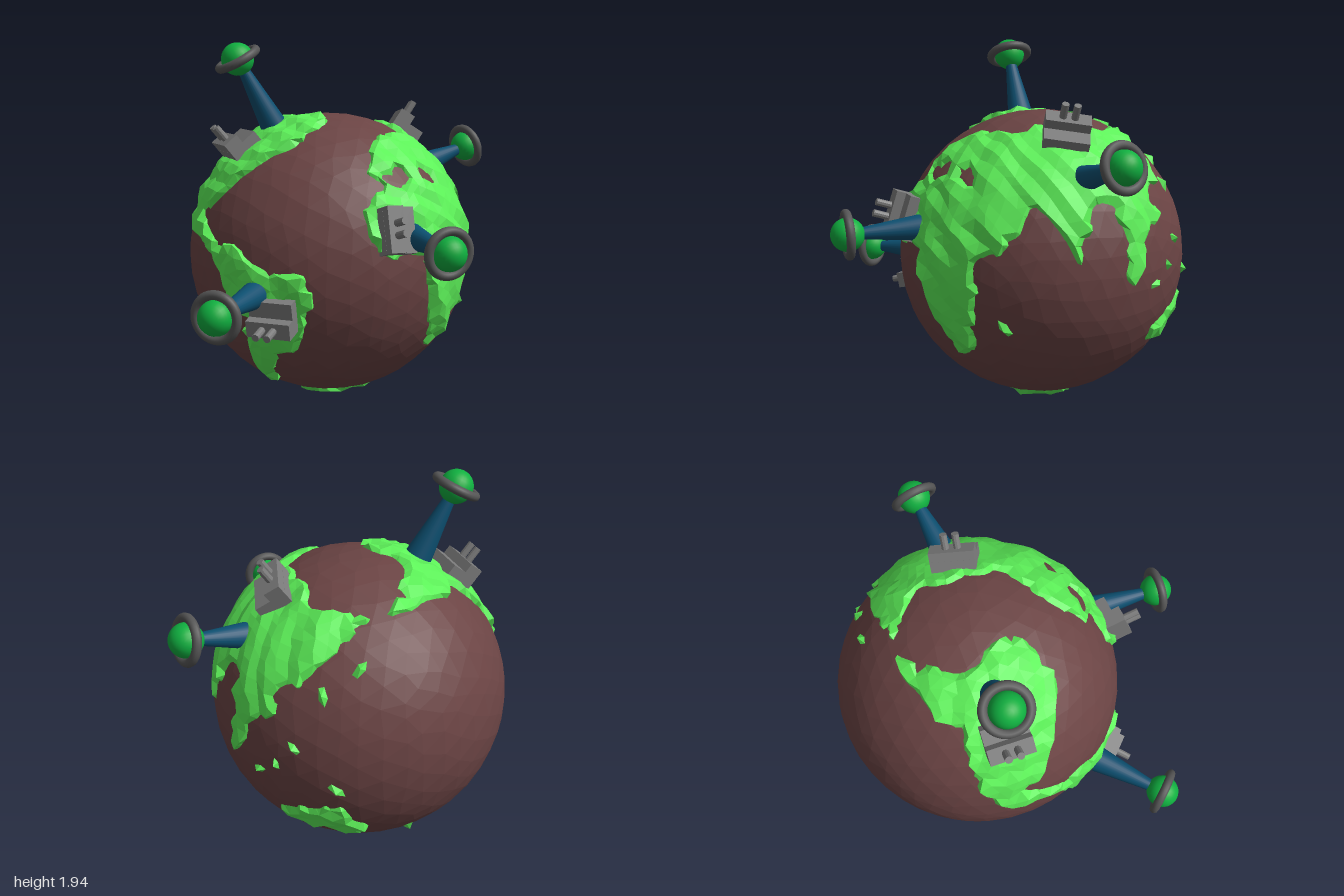
import * as THREE from 'three';

const C = new THREE.Vector3(-0.01, 0.795, -0.205); // globe centre
const R = 0.77;
const UP = new THREE.Vector3(0, 1, 0);
const rad = THREE.MathUtils.degToRad;

const mat = (color, flat = false) =>
  new THREE.MeshStandardMaterial({ color, flatShading: flat, roughness: 0.9 });
const OCEAN = mat(0x6b4444, true), LAND = mat(0x5cf058, true);
const STEM = mat(0x0c4f70), DOME = mat(0x10b040), RING = mat(0x555555), BLOCK = mat(0x7c7c7c, true);

const direction = (lat, lon) => new THREE.Vector3().setFromSphericalCoords(1, rad(90 - lat), rad(lon));

// Land masses as brush strokes on the globe: latitude, longitude from the front, brush radius
const STROKES = [
  [[21, 7, 15], [20, 30, 16], [0, 30, 15], [-14, 32, 12], [-26, 33, 8.5]],
  [[12, 38, 7], [11, 54, 3]],
  [[41, 2, 4], [51, 14, 8], [50, 36, 12], [44, 62, 18], [46, 90, 21], [43, 112, 17], [52, 138, 9], [59, 155, 4]],
  [[38, 50, 10], [25, 53, 11]],
  [[27, 80, 10], [9, 83, 3]],
  [[25, 110, 12], [12, 106, 6], [1, 105, 3]],
  [[60, 176, 3], [64, -145, 7], [61, -95, 15], [45, -88, 17], [32, -93, 13], [20, -95, 7], [9, -77, 3],
    [2, -62, 9], [-6, -58, 12], [-9, -42, 13], [-23, -49, 12], [-36, -57, 7], [-53, -62, 3]],
  [[45, -88, 17], [57, -62, 10], [72, -60, 11]],
  [[-26, 129, 7], [-24, 145, 10], [-31, 153, 7]],
  [[-82, -60, 9], [-83, 60, 14]],
].map((stroke) => stroke.map(([lat, lon, r]) => ({ at: direction(lat, lon), r: rad(r) })));

// Positive on land, negative at sea, with a ragged coast
function landField(d) {
  let f = -1;
  for (const stroke of STROKES) {
    for (let i = 1; i < stroke.length; i++) {
      const a = stroke[i - 1], b = stroke[i];
      const ab = b.at.clone().sub(a.at);
      const t = THREE.MathUtils.clamp(d.clone().sub(a.at).dot(ab) / ab.lengthSq(), 0, 1);
      f = Math.max(f, THREE.MathUtils.lerp(a.r, b.r, t) - d.angleTo(ab.multiplyScalar(t).add(a.at)));
    }
  }
  return f + 0.016 * (Math.sin(21 * d.x + 13 * d.y) + Math.sin(25 * d.z - 17 * d.y));
}

// Unit sphere directions, nudged sideways for irregular facets
function facets(detail, amount) {
  const pos = new THREE.IcosahedronGeometry(1, detail).attributes.position;
  return Array.from({ length: pos.count }, (_, i) => {
    const d = new THREE.Vector3().fromBufferAttribute(pos, i);
    const { x, y, z } = d;
    d.x += amount * Math.sin(37 * y + 23 * z);
    d.y += amount * Math.sin(41 * z + 19 * x);
    d.z += amount * Math.sin(31 * x + 29 * y);
    return d.normalize();
  });
}

function fromPoints(points) {
  const g = new THREE.BufferGeometry().setFromPoints(points);
  g.computeVertexNormals();
  return g;
}

function landGeometry() {
  const dirs = facets(14, 0.014), out = [];
  const raise = (d) => d.clone().multiplyScalar(
    0.788 + 0.007 * (Math.sin(29 * d.x + 17 * d.y) + Math.sin(33 * d.z - 21 * d.y)));
  for (let i = 0; i < dirs.length; i += 3) {
    const tri = dirs.slice(i, i + 3), f = tri.map(landField), poly = [];
    // keep the part of the facet that is land; the cut edge drops into the sea
    for (let k = 0; k < 3; k++) {
      const n = (k + 1) % 3;
      if (f[k] > 0) poly.push(raise(tri[k]));
      if ((f[k] > 0) !== (f[n] > 0)) {
        const t = THREE.MathUtils.clamp(f[k] / (f[k] - f[n]), 0.1, 0.9);
        poly.push(tri[k].clone().lerp(tri[n], t).setLength(0.757));
      }
    }
    for (let k = 2; k < poly.length; k++) out.push(poly[0], poly[k - 1], poly[k]);
  }
  return fromPoints(out);
}

function add(parent, name, geometry, material, x = 0, y = 0, z = 0) {
  const m = new THREE.Mesh(geometry, material);
  m.name = name;
  m.position.set(x, y, z);
  parent.add(m);
  return m;
}

// Group whose +y points along the normal
function stand(parent, name, position, normal, spin = 0) {
  const g = new THREE.Group();
  g.name = name;
  g.position.copy(position);
  g.quaternion.setFromUnitVectors(UP, normal.clone().normalize());
  g.rotateY(spin);
  parent.add(g);
  return g;
}

// Tapered stem carrying a dome inside a ring
function tower(parent, base, head) {
  const b = new THREE.Vector3(...base), axis = new THREE.Vector3(...head).sub(b), h = axis.length();
  const g = stand(parent, 'tower', b, axis);
  add(g, 'stem', new THREE.CylinderGeometry(0.022, 0.07, h + 0.04, 24), STEM, 0, h / 2 - 0.02, 0);
  add(g, 'ring', new THREE.TorusGeometry(0.107, 0.023, 12, 40), RING, 0, h, 0).rotation.x = Math.PI / 2;
  add(g, 'dome', new THREE.SphereGeometry(0.086, 24, 16), DOME, 0, h, 0);
}

// Stepped block with two chimneys
function factory(parent, toward, spin) {
  const n = new THREE.Vector3(...toward).normalize();
  const g = stand(parent, 'factory', n.clone().multiplyScalar(0.74).add(C), n, spin);
  add(g, 'hall', new THREE.BoxGeometry(0.17, 0.09, 0.23), BLOCK, 0, 0.045, 0);
  add(g, 'upperHall', new THREE.BoxGeometry(0.085, 0.05, 0.23), BLOCK, -0.042, 0.115, 0);
  for (const z of [-0.03, 0.03])
    add(g, 'chimney', new THREE.CylinderGeometry(0.019, 0.019, 0.12, 10), BLOCK, -0.04, 0.16, z);
}

// Low faceted hill, longer than wide
function island(parent, lat, lon, length) {
  const n = direction(lat, lon);
  const g = stand(parent, 'island', n.clone().multiplyScalar(0.775).add(C), n, lon);
  add(g, 'islandHill', new THREE.ConeGeometry(1, 0.04, 5), LAND).scale.set(length / 2, 1, length);
}

export function createModel() {
  const model = new THREE.Group();
  model.name = 'planet';

  const ocean = fromPoints(facets(7, 0.018).map((d) => d.multiplyScalar(R)));
  add(model, 'ocean', ocean, OCEAN).position.copy(C);
  add(model, 'land', landGeometry(), LAND).position.copy(C);

  island(model, -19, 55, 0.075);
  island(model, -40, 182, 0.06);
  island(model, 41, 156, 0.07);
  island(model, 31, 141, 0.07);
  island(model, -5, 117, 0.06);
  island(model, 1, 125, 0.05);
  island(model, 10, 132, 0.06);
  island(model, -5, 148, 0.075);

  tower(model, [-0.355, 1.55, -0.205], [-0.525, 1.855, -0.205]);
  tower(model, [0.61, 1.265, -0.195], [0.9, 1.345, -0.25]);
  tower(model, [0.13, 0.985, 0.53], [0.125, 0.97, 0.88]);
  tower(model, [-0.65, 0.71, 0.31], [-0.9, 0.7, 0.555]);

  factory(model, [-0.52, 0.62, -0.005], 0);
  factory(model, [0.46, 0.685, 0.045], -0.35);
  factory(model, [0.03, 0.225, 0.73], 0);
  factory(model, [-0.58, -0.19, 0.6], 0.8);
  return model;
}
